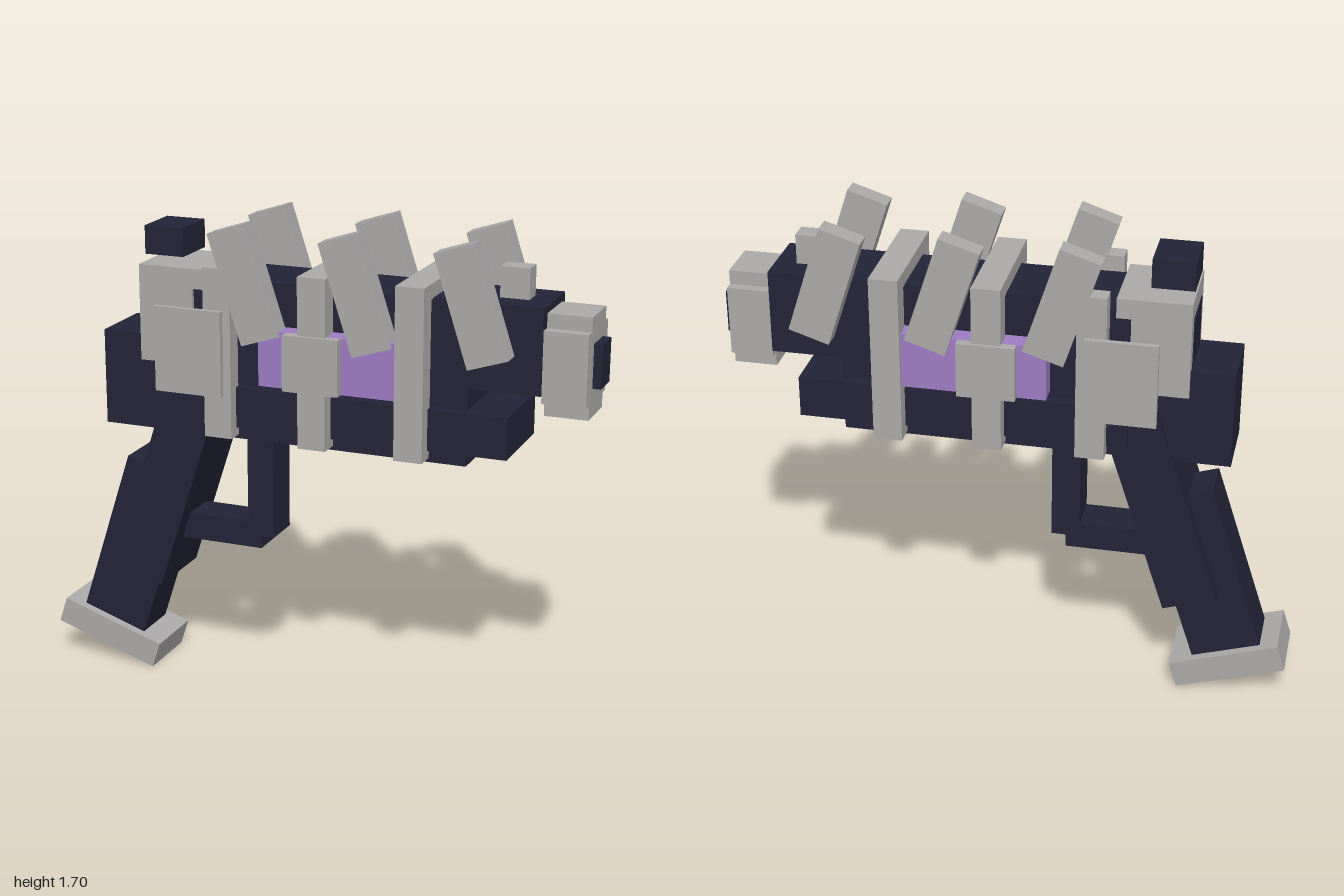
import * as THREE from 'three';

export function createModel() {
  const model = new THREE.Group();
  const dark = new THREE.MeshStandardMaterial({ color: 0x232338 });
  dark.name = 'dark navy';
  const grey = new THREE.MeshStandardMaterial({ color: 0xaba8a8 });
  grey.name = 'warm grey';
  const purple = new THREE.MeshStandardMaterial({ color: 0x9e7bc2 });
  purple.name = 'glow purple';

  // Box given by its limits on each axis
  function box(name, mat, x0, x1, y0, y1, z0, z1) {
    const mesh = new THREE.Mesh(new THREE.BoxGeometry(x1 - x0, y1 - y0, z1 - z0), mat);
    mesh.position.set((x0 + x1) / 2, (y0 + y1) / 2, (z0 + z1) / 2);
    mesh.name = name;
    model.add(mesh);
  }
  // Box centred on z = 0
  const mid = (name, mat, x0, x1, y0, y1, half) => box(name, mat, x0, x1, y0, y1, -half, half);
  // Mirrored pair of boxes on both sides
  function pair(name, mat, x0, x1, y0, y1, z0, z1) {
    box(name + 'Left', mat, x0, x1, y0, y1, z0, z1);
    box(name + 'Right', mat, x0, x1, y0, y1, -z1, -z0);
  }
  // Box tilted about z
  function tilted(name, mat, x, y, z, w, h, d, degrees) {
    const mesh = new THREE.Mesh(new THREE.BoxGeometry(w, h, d), mat);
    mesh.position.set(x, y, z);
    mesh.rotation.z = THREE.MathUtils.degToRad(degrees);
    mesh.name = name;
    model.add(mesh);
  }

  // Body and barrel
  mid('lowerBody', dark, -0.77, 0.57, 0.93, 1.27, 0.125);
  mid('upperBarrel', dark, -0.42, 0.82, 1.2, 1.495, 0.125);
  mid('underBarrel', dark, -0.42, 0.72, 0.98, 1.125, 0.16);
  mid('powerCell', purple, -0.15, 0.35, 1.15, 1.345, 0.195);

  // Muzzle
  mid('muzzleBlock', grey, 0.82, 0.97, 1.175, 1.42, 0.12);
  mid('muzzleCore', grey, 0.821, 0.971, 1.125, 1.47, 0.085);
  mid('muzzleTip', dark, 0.9, 1.0, 1.225, 1.375, 0.054);

  // Rear housing and sights
  mid('rearHousing', grey, -0.62, -0.42, 1.18, 1.46, 0.14);
  mid('rearHousingTop', grey, -0.62, -0.37, 1.45, 1.52, 0.14);
  mid('rearPanel', dark, -0.623, -0.61, 1.2, 1.45, 0.09);
  mid('rearSight', dark, -0.62, -0.475, 1.545, 1.645, 0.088);
  mid('frontSight', grey, 0.645, 0.745, 1.49, 1.6, 0.035);

  // Upright ribs; the two forward ones are joined over the top
  pair('rearRib', grey, -0.35, -0.25, 0.95, 1.545, 0.14, 0.203);
  for (const x of [0, 0.345]) {
    pair('rib', grey, x, x + 0.1, 0.95, 1.545, 0.14, 0.213);
    mid('ribBridge', grey, x, x + 0.1, 1.492, 1.545, 0.14);
  }

  // Side plates
  pair('rearSidePlate', grey, -0.525, -0.278, 1.1, 1.4, 0.203, 0.223);
  pair('cellClamp', grey, -0.05, 0.15, 1.15, 1.345, 0.19, 0.227);

  // Slanted fins
  for (const x of [-0.2, 0.2, 0.6])
    for (const side of [1, -1]) tilted('fin', grey, x, 1.495, side * 0.17, 0.145, 0.395, 0.07, 18);

  // Grip, base plate and trigger guard
  tilted('gripUpper', dark, -0.53, 0.76, 0, 0.195, 0.81, 0.29, -18);
  tilted('gripLower', dark, -0.69, 0.46, 0, 0.25, 0.63, 0.176, -18);
  tilted('gripBase', grey, -0.795, 0.111, 0, 0.4, 0.098, 0.242, -18);
  mid('guardFront', dark, -0.25, -0.15, 0.557, 0.95, 0.07);
  mid('guardBottom', dark, -0.6, -0.2, 0.51, 0.606, 0.069);

  return model;
}
